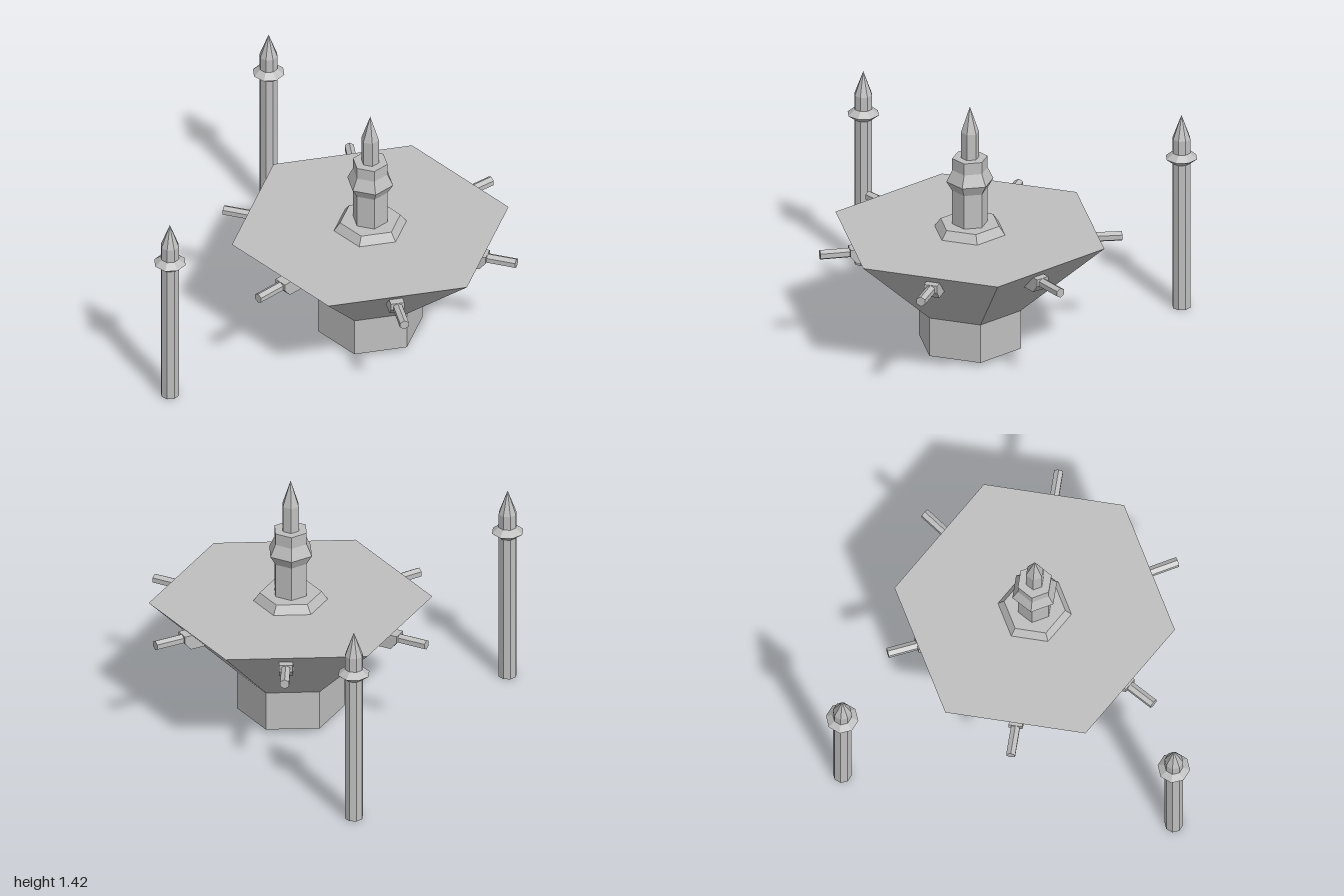
import * as THREE from 'three';

const stone = new THREE.MeshStandardMaterial({ color: 0xbfbfbf, flatShading: true, side: THREE.DoubleSide });
stone.name = 'grey stone';

// Faceted turned solid from [radius, height] pairs, bottom to top
function turned(name, profile, sides, phase = 0) {
  const points = profile.map(([r, y]) => new THREE.Vector2(r, y));
  const mesh = new THREE.Mesh(new THREE.LatheGeometry(points, sides, phase), stone);
  mesh.name = name;
  return mesh;
}

// Barrel on a slanted bracket, pointing along +x
function makeGun() {
  const gun = new THREE.Group();
  gun.name = 'gun';

  const profile = new THREE.Shape([
    [0.54, 0.555], [0.63, 0.555], [0.667, 0.6], [0.667, 0.64], [0.62, 0.64],
  ].map(([x, y]) => new THREE.Vector2(x, y)));
  const width = 0.075;
  const bracket = new THREE.Mesh(
    new THREE.ExtrudeGeometry(profile, { depth: width, bevelEnabled: false }).translate(0, 0, -width / 2),
    stone
  );
  bracket.name = 'gunBracket';

  const barrel = new THREE.Mesh(new THREE.CylinderGeometry(0.028, 0.028, 0.25, 6), stone);
  barrel.geometry.rotateY(Math.PI / 2).rotateZ(-Math.PI / 2);
  barrel.position.set(0.705, 0.612, 0);
  barrel.name = 'gunBarrel';

  gun.add(bracket, barrel);
  return gun;
}

export function createModel() {
  const model = new THREE.Group();
  model.name = 'platformWithPylons';

  const platform = new THREE.Group();
  platform.name = 'platform';
  platform.position.set(0.06, 0, 0.01);
  model.add(platform);

  // Open-bottomed foot, flared hull and flat deck
  platform.add(turned('hull', [[0.292, 0.025], [0.292, 0.25], [0.77, 0.685], [0, 0.685]], 6));
  platform.add(turned('towerBase', [[0.202, 0.685], [0.168, 0.733], [0, 0.733]], 6));

  // Central tower with a bulge, topped by a spire
  platform.add(turned('tower', [
    [0.098, 0.733], [0.098, 0.93], [0.13, 0.985], [0.098, 1.052], [0.098, 1.12], [0, 1.12],
  ], 6, Math.PI / 6));
  platform.add(turned('spire', [[0.05, 1.12], [0.05, 1.27], [0, 1.42]], 6, Math.PI / 6));

  // Guns around the hull
  for (const degrees of [0, 55, 115, 180, 240, 300]) {
    const gun = makeGun();
    gun.rotation.y = THREE.MathUtils.degToRad(degrees);
    platform.add(gun);
  }

  // Two free-standing pylons
  for (const side of [-1, 1]) {
    const pylon = turned('pylon', [
      [0.051, 0], [0.051, 0.857], [0.089, 0.887], [0.051, 0.919], [0.051, 1.0], [0, 1.138],
    ], 8);
    pylon.position.set(-0.8, 0, side * 0.911);
    model.add(pylon);
  }

  return model;
}
